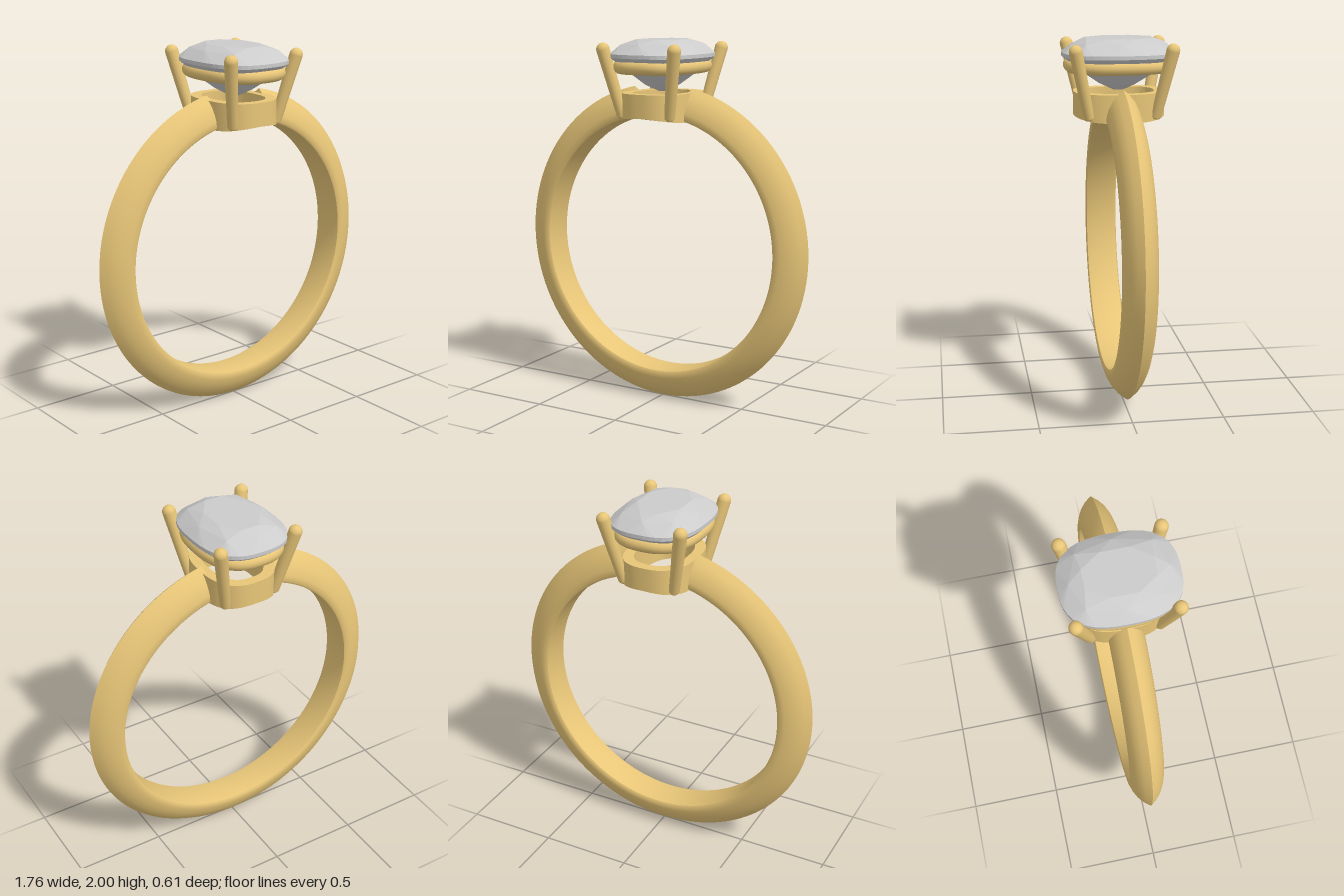
import * as THREE from 'three';
import { toCreasedNormals } from 'three/addons/utils/BufferGeometryUtils.js';
import { ConvexGeometry } from 'three/addons/geometries/ConvexGeometry.js';

const gold = new THREE.MeshStandardMaterial({ color: 0xe8c678 });
const grey = new THREE.MeshStandardMaterial({ color: 0xcccccc });
const RING_Y = 0.88, INNER_R = 0.71;

// Cushion outline: points of a superellipse with half sizes a (x) and b (z)
function cushion(a, b, count, power = 2.6, turn = 0) {
  return Array.from({ length: count }, (_, i) => {
    const t = ((i + turn) / count) * Math.PI * 2;
    const c = Math.cos(t), s = Math.sin(t);
    const r = Math.pow(Math.abs(c) ** power + Math.abs(s) ** power, -1 / power);
    return new THREE.Vector2(a * r * c, b * r * s);
  });
}

function add(parent, name, geometry, material = gold) {
  const mesh = new THREE.Mesh(geometry, material);
  mesh.name = name;
  parent.add(mesh);
  return mesh;
}

// Knife-edge band, open at the top where the setting sits
function addBand(parent) {
  const half = [[0.88, 0], [0.853, 0.034], [0.825, 0.058], [0.79, 0.077], [0.755, 0.089],
    [0.725, 0.093], [0.714, 0.086], [0.709, 0.06], [0.707, 0]];
  const side = half.map(([r, z]) => new THREE.Vector2(r, z));
  const mirror = half.slice(0, -1).reverse().map(([r, z]) => new THREE.Vector2(r, -z));
  const profile = [...side, ...mirror];
  const gap = 0.205;
  const geometry = new THREE.LatheGeometry(profile, 128, gap - Math.PI, 2 * (Math.PI - gap));
  geometry.rotateX(Math.PI / 2);
  add(parent, 'band', toCreasedNormals(geometry, 0.7)).position.y = RING_Y;

  // Closing faces of the two band ends
  for (const s of [-1, 1]) {
    const cap = new THREE.ShapeGeometry(new THREE.Shape(profile));
    cap.rotateX(Math.PI / 2);
    cap.rotateZ(Math.PI / 2 + s * gap);
    const mesh = add(parent, 'bandEnd', cap, gold.clone());
    mesh.material.side = THREE.DoubleSide;
    mesh.position.y = RING_Y;
  }
}

// Oval collar whose underside follows the finger hole
function addCollar(parent) {
  const shape = new THREE.Shape(cushion(0.19, 0.245, 64));
  shape.holes.push(new THREE.Path(cushion(0.135, 0.19, 64)));
  const geometry = new THREE.ExtrudeGeometry(shape, { depth: 1, bevelEnabled: false });
  geometry.rotateX(-Math.PI / 2);
  const p = geometry.attributes.position;
  for (let i = 0; i < p.count; i++) {
    const x = p.getX(i);
    p.setY(i, p.getY(i) > 0.5 ? 1.717 : RING_Y + Math.sqrt(INNER_R ** 2 - x * x));
  }
  add(parent, 'collar', toCreasedNormals(geometry, 0.6));
}

// Round wire rail under the stone
function addRail(parent) {
  const points = cushion(0.195, 0.26, 32).map((p) => new THREE.Vector3(p.x, 1.857, p.y));
  const path = new THREE.CatmullRomCurve3(points, true);
  add(parent, 'rail', new THREE.TubeGeometry(path, 96, 0.037, 16, true));
}

// Leaning claw with rounded ends
function addProng(parent, sx, sz) {
  const foot = new THREE.Vector3(sx * 0.148, 1.595, sz * 0.18);
  const tip = new THREE.Vector3(sx * 0.219, 1.95, sz * 0.256);
  const axis = tip.clone().sub(foot);
  const prong = new THREE.Group();
  prong.name = 'prong';
  prong.position.copy(foot);
  prong.quaternion.setFromUnitVectors(new THREE.Vector3(0, 1, 0), axis.clone().normalize());
  const length = axis.length();
  const profile = [new THREE.Vector2(0, -0.016), new THREE.Vector2(0.02, -0.013), new THREE.Vector2(0.029, 0)];
  for (let i = 0; i <= 8; i++) {
    const t = (i / 8) * Math.PI / 2;
    profile.push(new THREE.Vector2(0.036 * Math.cos(t), length + 0.036 * Math.sin(t)));
  }
  add(prong, 'claw', new THREE.LatheGeometry(profile, 20));
  parent.add(prong);
}

// Faceted cushion-cut stone: [height, x half, z half, points, turn]
function addStone(parent) {
  const levels = [
    [2.0, 0.125, 0.185, 8, 0.5],
    [1.975, 0.19, 0.25, 8, 0],
    [1.926, 0.243, 0.305, 48, 0],
    [1.906, 0.243, 0.305, 48, 0],
    [1.815, 0.15, 0.19, 16, 0.5],
    [1.757, 0.08, 0.105, 8, 0],
    [1.722, 0.015, 0.03, 8, 0.5],
  ];
  const points = levels.flatMap(([y, a, b, count, turn]) =>
    cushion(a, b, count, 2.7, turn).map((p) => new THREE.Vector3(p.x, y, p.y)));
  add(parent, 'stone', new ConvexGeometry(points), grey);
}

export function createModel() {
  const ring = new THREE.Group();
  ring.name = 'ring';
  addBand(ring);

  const setting = new THREE.Group();
  setting.name = 'setting';
  ring.add(setting);
  addCollar(setting);
  addRail(setting);
  for (const sx of [-1, 1]) for (const sz of [-1, 1]) addProng(setting, sx, sz);
  addStone(setting);
  return ring;
}
